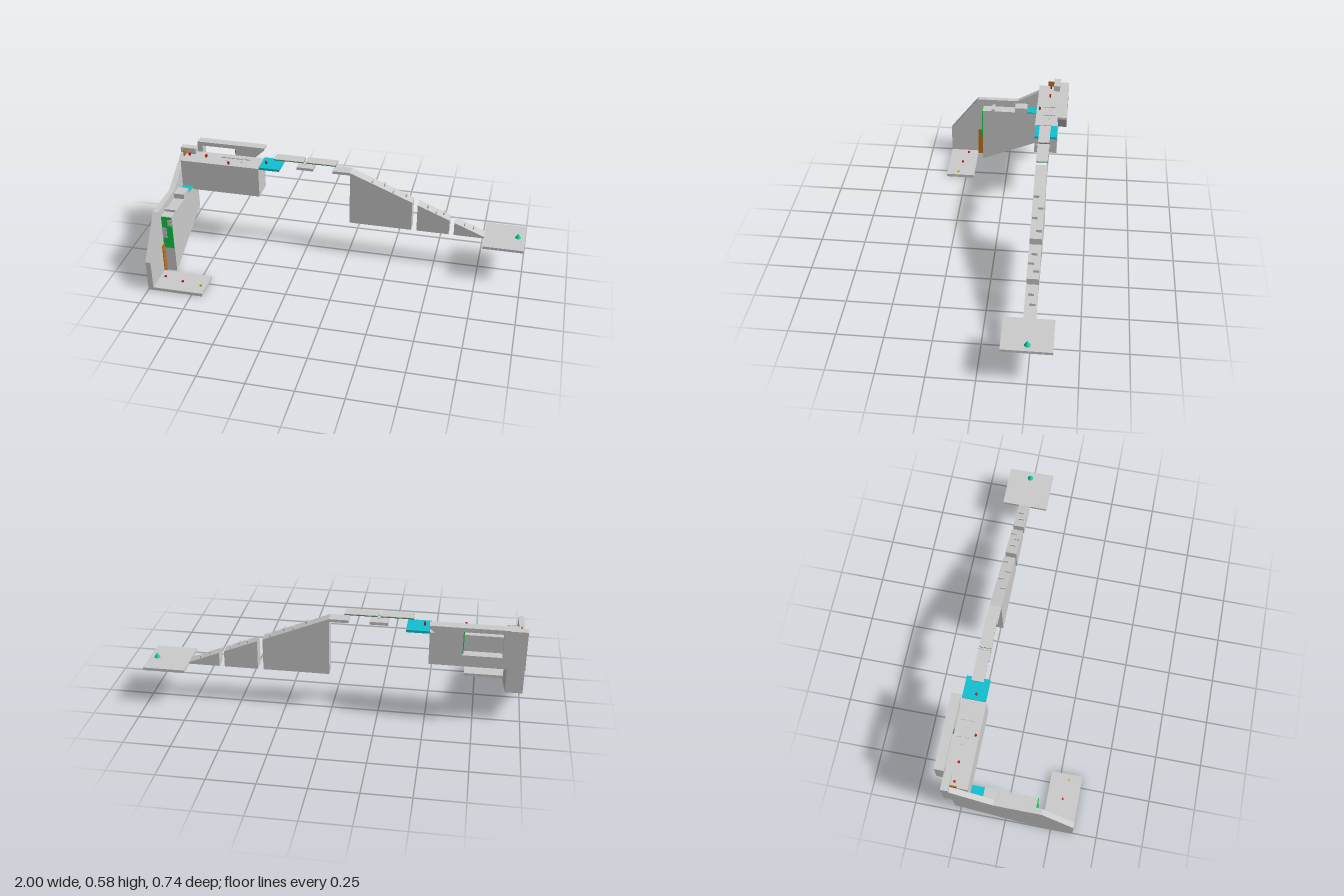
import * as THREE from 'three';

const mat = (color) => new THREE.MeshStandardMaterial({ color });
const GREY = mat(0xcccccc), GREEN = mat(0x0fd04a), CYAN = mat(0x10c0d0), BROWN = mat(0xc07020);
const RED = mat(0xcc2210), YELLOW = mat(0xc0c010), DARK_GREEN = mat(0x0a7030), TEAL = mat(0x10d0a0);

export function createModel() {
  const group = new THREE.Group();

  const add = (name, geometry, material = GREY) => {
    const mesh = new THREE.Mesh(geometry, material);
    mesh.name = name;
    group.add(mesh);
    return mesh;
  };
  // Box given by its limits on each axis
  const box = (name, [x0, x1], [y0, y1], [z0, z1], material) => {
    const g = new THREE.BoxGeometry(x1 - x0, y1 - y0, z1 - z0);
    g.translate((x0 + x1) / 2, (y0 + y1) / 2, (z0 + z1) / 2);
    return add(name, g, material);
  };
  const shapeOf = (pts) => new THREE.Shape(pts.map(([a, b]) => new THREE.Vector2(a, b)));
  // Side profile (z, y) pushed along x
  const alongX = (name, pts, x0, x1, material) => {
    const g = new THREE.ExtrudeGeometry(shapeOf(pts.map(([z, y]) => [-z, y])), { depth: x1 - x0, bevelEnabled: false });
    return add(name, g.rotateY(Math.PI / 2).translate(x0, 0, 0), material);
  };
  // Front profile (x, y) pushed along z
  const alongZ = (name, pts, z0, z1, hole) => {
    const shape = shapeOf(pts);
    if (hole) shape.holes.push(new THREE.Path(hole.map(([a, b]) => new THREE.Vector2(a, b))));
    const g = new THREE.ExtrudeGeometry(shape, { depth: z1 - z0, bevelEnabled: false });
    return add(name, g.translate(0, 0, z0));
  };

  // Outer wall and the raised walkway beside it
  alongX('outerWall', [[0.37, 0], [0.37, 0.18], [0.2, 0.4], [-0.05, 0.4], [-0.27, 0.525], [-0.27, 0.555],
    [-0.31, 0.555], [-0.31, 0.34], [-0.265, 0.34], [-0.265, 0.18], [0.17, 0]], -1, -0.97);
  alongX('walkwayBlock', [[0.165, 0], [0.165, 0.355], [0.11, 0.355], [0.11, 0.368], [0.092, 0.368],
    [0.092, 0.355], [-0.035, 0.355], [-0.035, 0.385], [-0.11, 0.385], [-0.11, 0.355],
    [-0.18, 0.355], [-0.265, 0.355], [-0.265, 0.18]], -0.97, -0.91);
  box('walkwayPad', [-0.97, -0.91], [0.353, 0.359], [-0.18, -0.11], CYAN);

  // Climbing panel with two plates, and the lower door
  box('climbingPanel', [-0.97, -0.91], [0.155, 0.355], [0.165, 0.17], GREEN);
  box('climbingPlate', [-0.97, -0.945], [0.22, 0.285], [0.168, 0.172]);
  box('climbingPlate', [-0.935, -0.91], [0.3, 0.34], [0.168, 0.172]);
  box('lowerDoor', [-0.971, -0.966], [0, 0.18], [0.165, 0.2], BROWN);

  // Start pad
  box('startPad', [-0.97, -0.69], [0, 0.018], [0.2, 0.37]);

  // Main platform, corner post and upper door
  box('mainPlatform', [-0.97, -0.51], [0.34, 0.52], [-0.31, -0.18]);
  box('cornerPost', [-0.97, -0.91], [0.52, 0.555], [-0.31, -0.27]);
  box('upperDoor', [-0.971, -0.966], [0.52, 0.552], [-0.27, -0.235], BROWN);
  box('platformPad', [-0.51, -0.39], [0.513, 0.526], [-0.31, -0.185], CYAN);

  // Rear alcove with a sloping underside and an open window
  alongZ('rearAlcove', [[-0.91, 0.415], [-0.68, 0.415], [-0.51, 0.57], [-0.51, 0.583], [-0.91, 0.583]], -0.36, -0.309,
    [[-0.88, 0.43], [-0.88, 0.56], [-0.68, 0.56], [-0.68, 0.43]]);
  box('alcovePanel', [-0.685, -0.679], [0.435, 0.555], [-0.35, -0.31], GREEN);

  // Small markers: x, base y, z, material
  [[-0.94, 0.018, 0.26, RED], [-0.83, 0.018, 0.285, RED], [-0.72, 0.018, 0.3, YELLOW],
    [-0.94, 0.355, -0.147, YELLOW], [-0.94, 0.52, -0.252, RED], [-0.84, 0.52, -0.252, RED],
    [-0.69, 0.52, -0.198, RED], [-0.48, 0.526, -0.24, RED]].forEach(([x, y, z, m]) =>
    box('marker', [x - 0.005, x + 0.005], [y, y + (y > 0.51 ? 0.016 : y > 0.3 ? 0.004 : 0.009)], [z - 0.005, z + 0.005], m));

  // Flat spinning crosses
  const cross = (x, y, z, rx, rz) => {
    box('crossBar', [x - rx, x + rx], [y, y + 0.005], [z - 0.003, z + 0.003]);
    box('crossBar', [x - 0.003, x + 0.003], [y, y + 0.005], [z - rz, z + rz]);
  };
  cross(-0.71, 0.525, -0.258, 0.042, 0.038);
  cross(-0.62, 0.525, -0.258, 0.042, 0.038);
  cross(-0.245, 0.563, -0.243, 0.036, 0.038);

  // Floating stepping slabs and the thin plates above them
  const lane = [-0.275, -0.212];
  box('steppingSlab', [-0.295, -0.2], [0.524, 0.54], lane);
  box('steppingSlab', [-0.09, 0.01], [0.524, 0.54], lane);
  [[-0.425, -0.255], [-0.24, -0.07]].forEach((span) => {
    box('upperPlate', span, [0.573, 0.577], lane);
    box('upperPlateUnderside', span, [0.57, 0.573], lane, DARK_GREEN);
  });

  // Ramp in three sections
  const rampY = (x) => 0.54 - 0.41 * (x - 0.01);
  [[0.01, 0.365], [0.395, 0.577], [0.605, 0.775]].forEach(([a, b]) =>
    alongZ('rampSection', [[a, 0.217], [b, 0.217], [b, rampY(b)], [a, rampY(a)]], ...lane));

  // Low hurdles alternating across the ramp
  [[0.135, 0], [0.2, 1], [0.255, 0], [0.325, 1], [0.45, 0.5], [0.5, 0], [0.54, 1], [0.66, 0.4], [0.71, 0.8]]
    .forEach(([x, side]) => {
      const z = -0.215 - side * 0.027, y = rampY(x);
      box('hurdle', [x - 0.003, x + 0.003], [y - 0.004, y + 0.013], [z - 0.03, z]);
    });

  // Finish pad and cone
  box('finishPad', [0.775, 1], [0.212, 0.227], [-0.37, -0.115]);
  const cone = add('finishCone', new THREE.ConeGeometry(0.016, 0.028, 16), TEAL);
  cone.position.set(0.96, 0.241, -0.245);

  return group;
}
